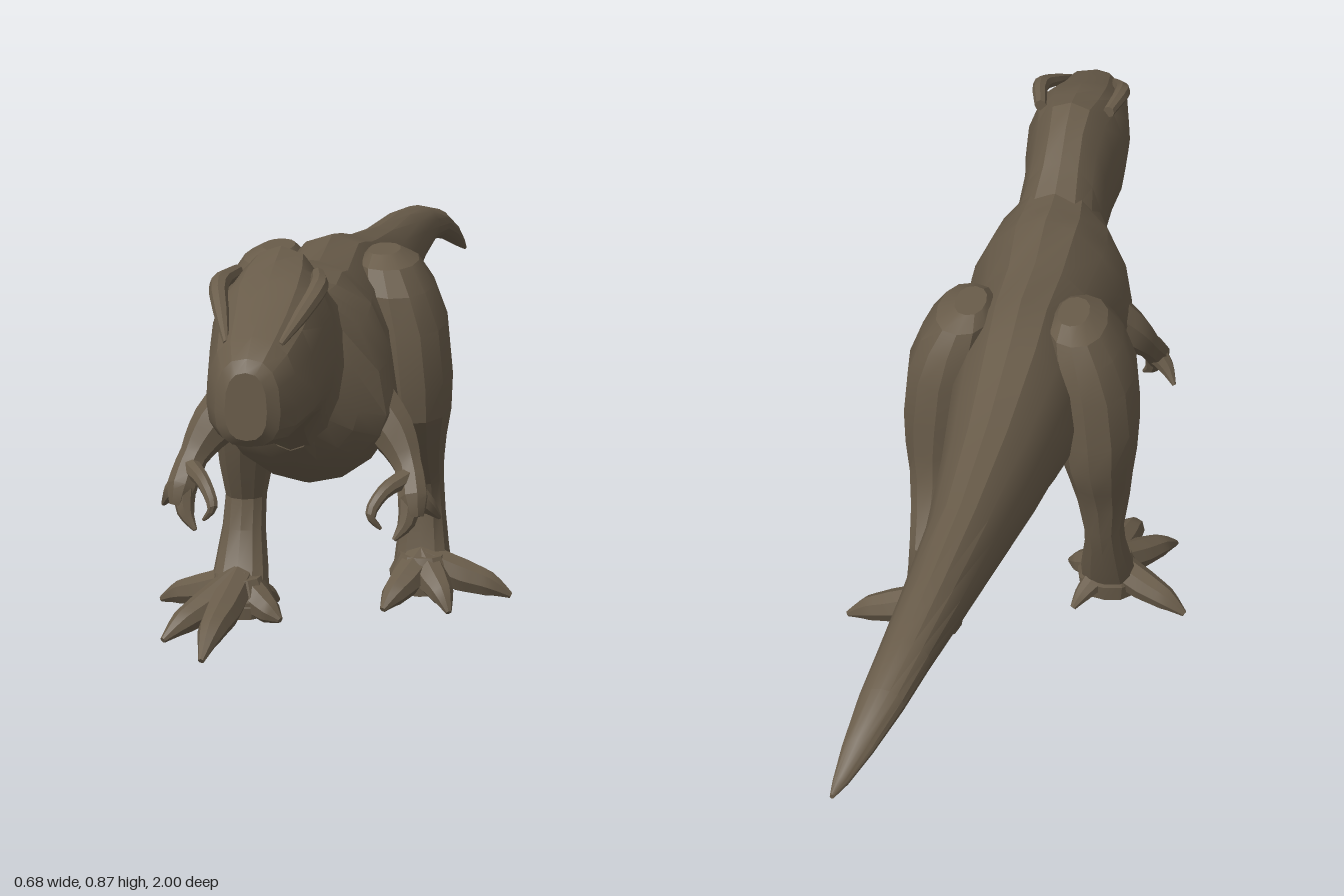
import * as THREE from 'three';
import { toCreasedNormals } from 'three/addons/utils/BufferGeometryUtils.js';

const hide = new THREE.MeshStandardMaterial({ color: 0x695c4a });
hide.name = 'brown hide';

// Skin a list of equal-length rings (counter-clockwise seen from the start) and cap both ends
function loft(name, rings) {
  const n = rings[0].length, pos = [], idx = [];
  rings.forEach(r => r.forEach(p => pos.push(p.x, p.y, p.z)));
  for (let i = 0; i < rings.length - 1; i++) {
    for (let j = 0; j < n; j++) {
      const k = (j + 1) % n;
      const a = i * n + j, b = i * n + k, c = a + n, d = b + n;
      idx.push(a, c, b, b, c, d);
    }
  }
  const last = (rings.length - 1) * n;
  for (let j = 1; j < n - 1; j++) {
    idx.push(0, j, j + 1, last, last + j + 1, last + j);
  }
  const geo = new THREE.BufferGeometry();
  geo.setAttribute('position', new THREE.Float32BufferAttribute(pos, 3));
  geo.setIndex(idx);
  const mesh = new THREE.Mesh(toCreasedNormals(geo, 0.42), hide);
  mesh.name = name;
  return mesh;
}

const ring = (n, fn) => Array.from({ length: n }, (_, j) => fn((j / n) * Math.PI * 2));
const power = (v, e) => Math.sign(v) * Math.abs(v) ** e;

// Torso, head or tail: rows of [z, centre x, top, widest height, bottom, half width, roundness]
function trunk(name, rows) {
  return loft(name, rows.map(([z, cx, top, mid, bottom, w, e = 1]) => ring(16, a => {
    const s = power(Math.sin(a), e);
    return new THREE.Vector3(cx + w * power(Math.cos(a), e), mid + s * (s > 0 ? top - mid : mid - bottom), z);
  })));
}

// Upright limb: rows of [y, x, z, x radius, z radius], top to bottom
function limb(name, rows, e = 0.9) {
  return loft(name, rows.map(([y, x, z, rx, rz]) => ring(12, a =>
    new THREE.Vector3(x + rx * power(Math.cos(a), e), y, z - rz * power(Math.sin(a), e)))));
}

// Tapered tube along a smooth path: points of [x, y, z, radius]
function taper(name, points, sides = 8) {
  const curve = new THREE.CatmullRomCurve3(points.map(p => new THREE.Vector3(p[0], p[1], p[2])));
  const steps = (points.length - 1) * 3;
  const { normals, binormals } = curve.computeFrenetFrames(steps);
  return loft(name, Array.from({ length: steps + 1 }, (_, i) => {
    const t = (i / steps) * (points.length - 1), k = Math.min(Math.floor(t), points.length - 2);
    const r = THREE.MathUtils.lerp(points[k][3], points[k + 1][3], t - k);
    return ring(sides, a => curve.getPoint(i / steps)
      .addScaledVector(normals[i], r * Math.cos(a)).addScaledVector(binormals[i], -r * Math.sin(a)));
  }));
}

// Leg: thigh and shin lofts with splayed toes running from the ankle to each tip
function leg(name, shin, ankle, tips, side) {
  const g = new THREE.Group();
  g.name = name;
  g.add(limb('thigh', [
    [0.735, side * 0.1, 0.12, 0.03, 0.05], [0.715, side * 0.11, 0.12, 0.055, 0.09],
    [0.67, side * 0.125, 0.125, 0.07, 0.118], [0.6, side * 0.14, 0.125, 0.082, 0.127],
    [0.5, side * 0.15, 0.125, 0.082, 0.126], [0.43, side * 0.155, 0.12, 0.074, 0.118],
    ...shin]));
  const [ax, ay, az] = ankle;
  tips.forEach(([x, y, z, r = 0.028]) => {
    const at = t => [ax + (x - ax) * t, az + (z - az) * t];
    const [mx, mz] = at(0.45), [kx, kz] = at(0.75);
    g.add(taper('toe', [[ax, ay, az, 0.035], [mx, 0.055, mz, r + 0.004],
      [kx, 0.04, kz, r * 0.85], [x, y, z, 0.006]]));
  });
  g.add(limb('footPad', [[0.1, ax, az, 0.045, 0.045], [0.06, ax, az, 0.065, 0.06], [0.025, ax, az, 0.06, 0.055]]));
  return g;
}

// Small arm with two outer claws and one finger curled inward
function arm(name, s) {
  const g = new THREE.Group();
  g.name = name;
  g.add(taper('upperArm', [[s * 0.11, 0.53, 0.42, 0.055], [s * 0.165, 0.475, 0.445, 0.043],
    [s * 0.195, 0.425, 0.475, 0.027], [s * 0.21, 0.375, 0.515, 0.028], [s * 0.215, 0.345, 0.525, 0.016]]));
  g.add(taper('outerClaw', [[s * 0.205, 0.39, 0.505, 0.024], [s * 0.232, 0.36, 0.495, 0.017], [s * 0.253, 0.33, 0.475, 0.004]]));
  g.add(taper('lowerClaw', [[s * 0.205, 0.375, 0.515, 0.022], [s * 0.2, 0.335, 0.53, 0.016], [s * 0.18, 0.307, 0.545, 0.004]]));
  g.add(taper('curledFinger', [[s * 0.195, 0.41, 0.5, 0.018], [s * 0.16, 0.395, 0.55, 0.013],
    [s * 0.142, 0.36, 0.575, 0.01], [s * 0.16, 0.335, 0.57, 0.003]]));
  return g;
}

export function createModel() {
  const model = new THREE.Group();
  model.name = 'dinosaur';

  // Head and neck
  model.add(trunk('head', [
    [1.0, 0, 0.735, 0.67, 0.62, 0.035, 0.8], [0.985, 0, 0.755, 0.665, 0.605, 0.055, 0.8],
    [0.94, 0, 0.78, 0.665, 0.595, 0.077, 0.8], [0.86, 0, 0.805, 0.67, 0.593, 0.092, 0.8],
    [0.79, 0, 0.835, 0.69, 0.587, 0.1, 0.75], [0.72, 0, 0.853, 0.69, 0.565, 0.104, 0.85],
    [0.66, 0, 0.866, 0.68, 0.53, 0.094, 0.95], [0.6, 0, 0.845, 0.66, 0.49, 0.088, 1],
    [0.54, 0, 0.8, 0.62, 0.45, 0.092, 1], [0.46, 0, 0.755, 0.56, 0.42, 0.11, 1],
  ]));
  // Torso and tail
  model.add(trunk('bodyAndTail', [
    [0.58, 0, 0.7, 0.58, 0.475, 0.06], [0.54, 0, 0.77, 0.54, 0.44, 0.115, 1.1], [0.49, 0, 0.765, 0.52, 0.405, 0.158, 1.15],
    [0.43, 0, 0.762, 0.52, 0.37, 0.167, 1.1], [0.37, 0, 0.77, 0.52, 0.35, 0.162, 1.05],
    [0.26, 0, 0.742, 0.53, 0.335, 0.138], [0.11, 0, 0.757, 0.54, 0.332, 0.13],
    [0, 0, 0.733, 0.54, 0.37, 0.122], [-0.1, 0.003, 0.707, 0.54, 0.405, 0.108],
    [-0.2, 0.005, 0.687, 0.54, 0.422, 0.095], [-0.4, 0.015, 0.655, 0.55, 0.46, 0.071],
    [-0.6, 0.03, 0.64, 0.57, 0.507, 0.058], [-0.75, 0.047, 0.62, 0.575, 0.532, 0.048],
    [-0.85, 0.065, 0.592, 0.56, 0.527, 0.041], [-0.93, 0.088, 0.545, 0.525, 0.503, 0.028],
    [-0.98, 0.108, 0.5, 0.489, 0.477, 0.014], [-1, 0.119, 0.475, 0.471, 0.466, 0.004],
  ]));

  for (const s of [1, -1]) {
    // Overhanging brow running down toward the snout
    model.add(taper('brow', [[s * 0.07, 0.828, 0.7, 0.012], [s * 0.084, 0.825, 0.785, 0.017],
      [s * 0.066, 0.795, 0.86, 0.013], [s * 0.045, 0.765, 0.93, 0.005]]));
    model.add(arm(s > 0 ? 'leftArm' : 'rightArm', s));
  }

  // Left leg trails with its foot turned outward
  model.add(leg('leftLeg', [
    [0.37, 0.155, 0.09, 0.062, 0.09], [0.31, 0.157, 0.045, 0.05, 0.068],
    [0.25, 0.158, -0.01, 0.042, 0.052], [0.18, 0.158, -0.025, 0.044, 0.037],
    [0.11, 0.158, -0.02, 0.052, 0.038], [0.05, 0.16, -0.01, 0.06, 0.045],
  ], [0.16, 0.085, 0], [[0.335, 0.018, 0, 0.03], [0.225, 0.012, 0.1], [0.1, 0.02, 0.125], [0.145, 0.018, -0.07, 0.022]], 1));

  // Right leg steps forward
  model.add(leg('rightLeg', [
    [0.37, -0.16, 0.12, 0.062, 0.095], [0.31, -0.165, 0.12, 0.052, 0.07],
    [0.24, -0.168, 0.11, 0.04, 0.046], [0.18, -0.17, 0.125, 0.042, 0.04],
    [0.11, -0.17, 0.155, 0.052, 0.045], [0.05, -0.17, 0.19, 0.06, 0.055],
  ], [-0.17, 0.085, 0.185], [[-0.335, 0.018, 0.125], [-0.285, 0.018, 0.35], [-0.2, 0.004, 0.41, 0.03], [-0.08, 0.03, 0.24], [-0.11, 0.02, 0.1, 0.02]], -1));

  return model;
}
